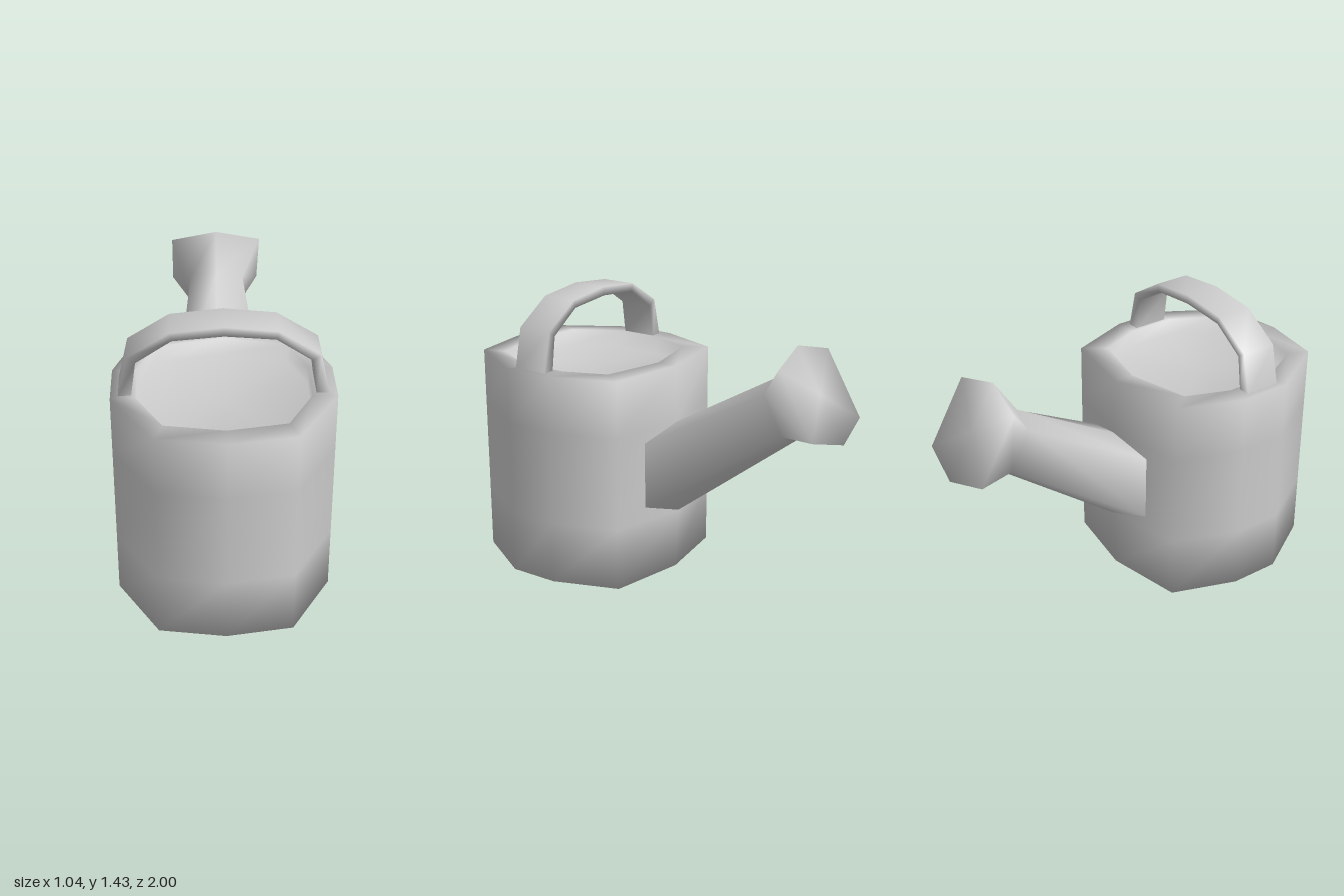
import * as THREE from 'three';

const material = new THREE.MeshStandardMaterial({ color: 0xcccccc });

// Skins a chain of equal-sized loops with shared vertices, so shading runs smooth over the edges.
function skin(name, loops, capStart, capEnd) {
  const n = loops[0].length;
  const pos = loops.flat(2);
  const index = [];
  for (let i = 0; i < loops.length - 1; i++) {
    for (let j = 0; j < n; j++) {
      const a = i * n + j, b = i * n + (j + 1) % n;
      index.push(a, b, b + n, a, b + n, a + n);
    }
  }
  const cap = (k, flip) => {
    const centre = pos.length / 3;
    for (let c = 0; c < 3; c++) pos.push(loops[k].reduce((s, p) => s + p[c], 0) / n);
    for (let j = 0; j < n; j++) {
      const a = k * n + j, b = k * n + (j + 1) % n;
      if (flip) index.push(centre, b, a);
      else index.push(centre, a, b);
    }
  };
  if (capStart) cap(0, true);
  if (capEnd) cap(loops.length - 1, false);
  const geometry = new THREE.BufferGeometry();
  geometry.setAttribute('position', new THREE.Float32BufferAttribute(pos, 3));
  geometry.setIndex(index);
  geometry.computeVertexNormals();
  const mesh = new THREE.Mesh(geometry, material);
  mesh.name = name;
  return mesh;
}

// Completes a half loop (first and last points on the centre line) by mirroring in x.
const mirrorLoop = (half) => [
  ...half,
  ...half.slice(1, -1).reverse().map(([x, y, z]) => [-x, y, z]),
];

// Ten-sided can with a thick rim and a recessed top
function makeBody() {
  const outer = [[0, 0.995], [0.32, 0.945], [0.52, 0.61], [0.52, 0.35], [0.4, 0.02], [0, -0.05]];
  const inner = [[0, 0.885], [0.28, 0.835], [0.405, 0.6], [0.405, 0.35], [0.32, 0.13], [0, 0.055]];
  const level = (outline, y, bulge = 0) =>
    mirrorLoop(outline.map(([x, z], i) => [x, y, i === 5 ? z - bulge : z]));
  return skin('body', [
    level(outer, 0),
    level(outer, 0.32, 0.018),
    level(outer, 0.8, 0.012),
    level(outer, 1.09),
    level(inner, 1.09),
    level(inner, 1.0),
  ], true, true);
}

// Six-sided spout: base on the can, neck, flared closed head
function makeSpout() {
  const section = (w, top, upper, lower, bottom) =>
    mirrorLoop([[0, ...top], [w, ...upper], [w, ...lower], [0, ...bottom]]);
  return skin('spout', [
    section(0.22, [0.8, -0.06], [0.73, -0.01], [0.39, -0.015], [0.32, -0.07]),
    section(0.14, [1.12, -0.62], [1.08, -0.645], [0.89, -0.745], [0.85, -0.77]),
    section(0.235, [1.3, -0.74], [1.24, -0.775], [0.925, -0.96], [0.86, -1.0]),
  ], false, true);
}

// Flat strap handle arching from side to side
function makeHandle() {
  // outer x, outer y, inner x, inner y
  const half = [
    [0.487, 1.08, 0.425, 1.08],
    [0.44, 1.287, 0.4, 1.26],
    [0.245, 1.41, 0.235, 1.37],
  ];
  const path = [
    ...half,
    [0, 1.435, 0, 1.39],
    ...half.slice().reverse().map(([ox, oy, ix, iy]) => [-ox, oy, -ix, iy]),
  ];
  const loops = path.map(([ox, oy, ix, iy]) => [
    [ox, oy, 0.58], [ox, oy, 0.395], [ix, iy, 0.395], [ix, iy, 0.58],
  ]);
  return skin('handle', loops, false, false);
}

export function createModel() {
  const model = new THREE.Group();
  model.name = 'wateringCan';
  model.add(makeBody(), makeSpout(), makeHandle());
  return model;
}
